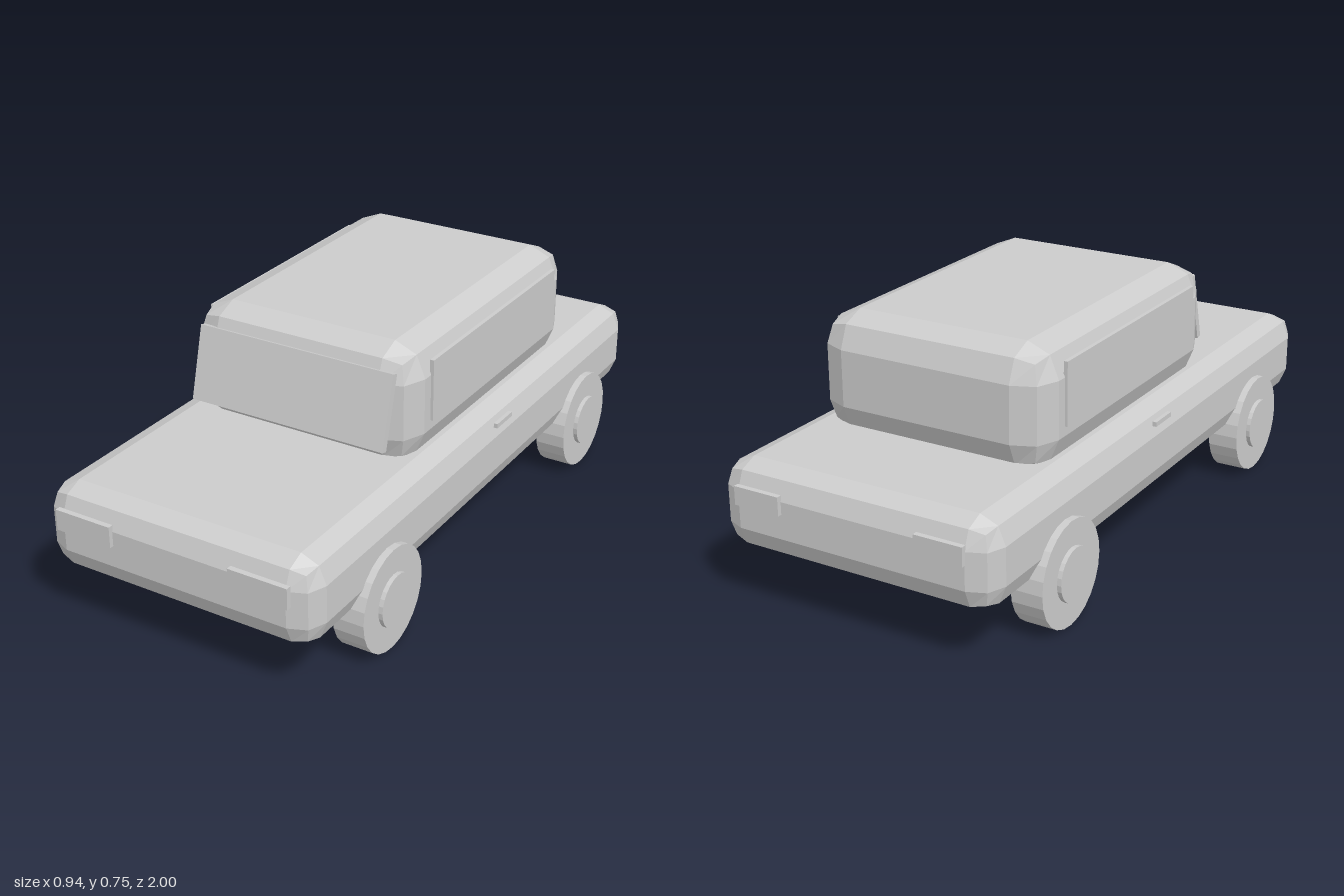
import * as THREE from 'three';
import { RoundedBoxGeometry } from 'three/addons/geometries/RoundedBoxGeometry.js';

export function createModel() {
  const car = new THREE.Group();
  car.name = 'car';
  const grey = new THREE.MeshStandardMaterial({ color: 0xcccccc });
  grey.name = 'grey';

  // Adds a faceted part at the given position
  function add(name, geometry, x, y, z) {
    const faceted = geometry.index ? geometry.toNonIndexed() : geometry;
    faceted.computeVertexNormals();
    const mesh = new THREE.Mesh(faceted, grey);
    mesh.name = name;
    mesh.position.set(x, y, z);
    car.add(mesh);
    return mesh;
  }
  const box = (w, h, d) => new THREE.BoxGeometry(w, h, d);
  const disc = (r, width) => new THREE.CylinderGeometry(r, r, width, 24).rotateZ(Math.PI / 2);

  // Lower body and cabin with two-step bevels
  add('body', new RoundedBoxGeometry(0.868, 0.26, 1.974, 1, 0.075), 0, 0.301, 0);
  add('cabin', new RoundedBoxGeometry(0.734, 0.36, 1.024, 1, 0.096), 0, 0.575, -0.116);

  // Leaning windshield
  add('windshield', box(0.64, 0.222, 0.02), 0, 0.59, 0.41).rotation.x = -0.26;

  for (const [side, s] of [['left', 1], ['right', -1]]) {
    add(side + 'Window', box(0.012, 0.185, 0.768), s * 0.369, 0.612, -0.117);
    add(side + 'DoorHandle', box(0.012, 0.014, 0.094), s * 0.436, 0.398, -0.052);
    add(side + 'Headlight', box(0.182, 0.063, 0.016), s * 0.282, 0.344, 0.992);
    add(side + 'TailLight', box(0.146, 0.055, 0.016), s * 0.288, 0.347, -0.992);

    // Wheels with raised hubs
    for (const [end, z] of [['Front', 0.615], ['Rear', -0.615]]) {
      add(side + end + 'Wheel', disc(0.155, 0.096), s * 0.407, 0.155, z);
      add(side + end + 'Hub', disc(0.079, 0.03), s * 0.453, 0.155, z);
    }
  }
  return car;
}
